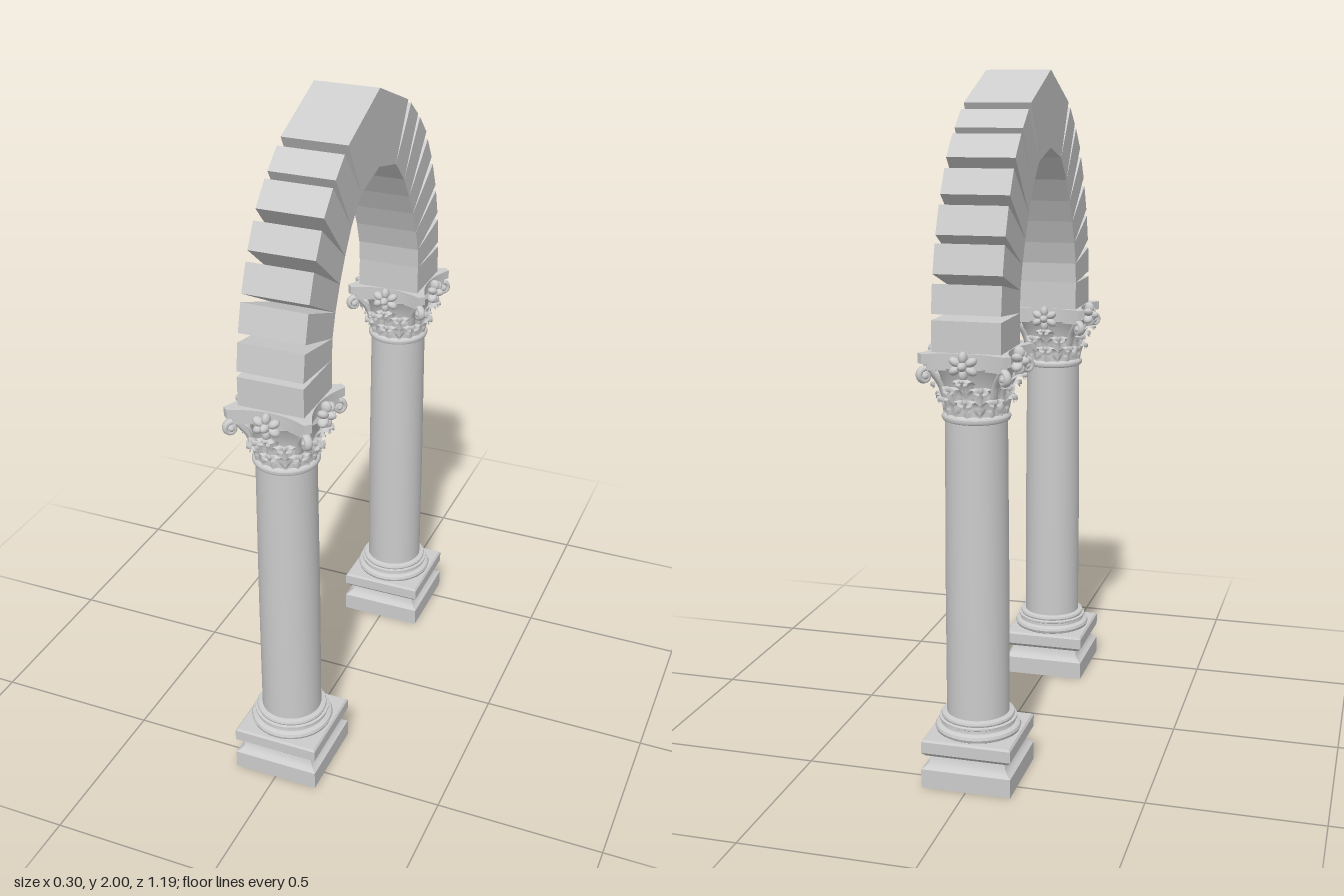
import * as THREE from 'three';
import { toCreasedNormals } from 'three/addons/utils/BufferGeometryUtils.js';

const mat = new THREE.MeshStandardMaterial({ color: 0xcccccc, side: THREE.DoubleSide });
const V2 = (p) => new THREE.Vector2(p[0], p[1]);

function add(parent, name, geo) {
  const mesh = new THREE.Mesh(geo, mat);
  mesh.name = name;
  parent.add(mesh);
  return mesh;
}

function lathe(points, segments) {
  return toCreasedNormals(new THREE.LatheGeometry(points.map(V2), segments), 0.6);
}

// Square moulding: a four-sided lathe turned so its faces meet the axes
function squareMoulding(points) {
  const geo = new THREE.LatheGeometry(points.map(([r, y]) => V2([r * Math.SQRT2, y])), 4);
  return toCreasedNormals(geo.rotateY(Math.PI / 4), 0.5);
}

// Curled leaf wrapped round the bell; path holds [radius, y] pairs
function leaf(path, halfWidth) {
  const geo = new THREE.PlaneGeometry(2, 1, 8, 14);
  const curve = new THREE.SplineCurve(path.map(V2));
  const pos = geo.attributes.position;
  for (let i = 0; i < pos.count; i++) {
    const u = pos.getX(i), v = pos.getY(i) + 0.5;
    const p = curve.getPoint(v);
    const lobes = 1 + 0.16 * Math.sin(v * Math.PI * 7);
    const w = halfWidth * lobes * Math.sqrt(Math.max(0.04, 1 - Math.pow(v, 4)));
    const r = p.x + 0.005 * Math.cos(u * Math.PI * 2) - 0.006 * u * u * v;
    const a = (u * w) / p.x;
    pos.setXYZ(i, r * Math.sin(a), p.y - 0.008 * u * u * v, r * Math.cos(a));
  }
  geo.computeVertexNormals();
  return geo;
}

// Abacus outline: concave sides and clipped corners
function abacusSlab(corner, waist, y, height) {
  const s = new THREE.Shape();
  const clip = 0.016;
  for (let k = 0; k < 4; k++) {
    const c = Math.cos((k * Math.PI) / 2), n = Math.sin((k * Math.PI) / 2);
    const at = (x, z) => [x * c - z * n, x * n + z * c];
    const start = at(corner, -corner + clip);
    if (k === 0) s.moveTo(...start);
    else s.lineTo(...start);
    s.quadraticCurveTo(...at(2 * waist - corner, 0), ...at(corner, corner - clip));
  }
  s.closePath();
  const geo = new THREE.ExtrudeGeometry(s, { depth: height, bevelEnabled: false, curveSegments: 12 });
  return toCreasedNormals(geo.rotateX(-Math.PI / 2).translate(0, y, 0), 0.5);
}

// Spiral scroll under an abacus corner
function scroll() {
  const pts = [[0.098, 1.13], [0.112, 1.165], [0.135, 1.195]];
  for (let i = 0; i <= 12; i++) {
    const a = 2.2 - i * 0.62, r = 0.021 - i * 0.0013;
    pts.push([0.158 + r * Math.cos(a), 1.19 + r * Math.sin(a)]);
  }
  const curve = new THREE.CatmullRomCurve3(pts.map(([r, y]) => new THREE.Vector3(0, y, r)));
  return new THREE.TubeGeometry(curve, 48, 0.008, 8).scale(1.5, 1, 1);
}

function createCapital() {
  const capital = new THREE.Group();
  capital.name = 'capital';
  add(capital, 'bell', lathe([[0.086, 1.07], [0.087, 1.11], [0.092, 1.15], [0.102, 1.185], [0.115, 1.21]], 40));
  add(capital, 'abacusLower', abacusSlab(0.118, 0.092, 1.205, 0.02));
  add(capital, 'abacusUpper', abacusSlab(0.13, 0.1, 1.225, 0.027));

  // Two staggered tiers of eight leaves
  const lower = leaf([[0.086, 1.073], [0.091, 1.1], [0.1, 1.123], [0.111, 1.127], [0.113, 1.115]], 0.032);
  const upper = leaf([[0.088, 1.09], [0.093, 1.13], [0.104, 1.157], [0.119, 1.162], [0.121, 1.149]], 0.03);
  for (let i = 0; i < 8; i++) {
    add(capital, 'lowerLeaf', lower).rotation.y = (i * Math.PI) / 4;
    add(capital, 'upperLeaf', upper).rotation.y = ((i + 0.5) * Math.PI) / 4;
  }

  const scrollGeo = scroll();
  const stalk = leaf([[0.09, 1.13], [0.102, 1.165], [0.122, 1.186], [0.138, 1.187], [0.14, 1.179]], 0.026);
  const petal = new THREE.SphereGeometry(1, 12, 8);
  for (let i = 0; i < 4; i++) {
    // Corner scrolls with a solid eye
    const corner = new THREE.Group();
    corner.name = 'cornerScroll';
    corner.rotation.y = ((i + 0.5) * Math.PI) / 2;
    add(corner, 'scroll', scrollGeo);
    const eye = add(corner, 'scrollEye', petal);
    eye.position.set(0, 1.19, 0.158);
    eye.scale.set(0.015, 0.012, 0.012);
    capital.add(corner);

    // Flower in the middle of each side
    const flower = new THREE.Group();
    flower.name = 'flower';
    flower.rotation.y = (i * Math.PI) / 2;
    add(flower, 'flowerStalk', stalk);
    const heart = add(flower, 'flowerHeart', petal);
    heart.position.set(0, 1.222, 0.128);
    heart.scale.set(0.013, 0.013, 0.024);
    for (let k = 0; k < 6; k++) {
      const a = (k * Math.PI) / 3 + Math.PI / 2;
      const m = add(flower, 'petal', petal);
      m.position.set(0.026 * Math.cos(a), 1.222 + 0.023 * Math.sin(a), 0.122);
      m.rotation.z = a;
      m.scale.set(0.018, 0.012, 0.016);
    }
    capital.add(flower);
  }
  return capital;
}

function createColumn() {
  const column = new THREE.Group();
  column.name = 'column';
  add(column, 'plinth', squareMoulding([
    [0, 0], [0.131, 0], [0.131, 0.055], [0.12, 0.062], [0.112, 0.073], [0.108, 0.092],
    [0.12, 0.094], [0.131, 0.105], [0.131, 0.138], [0.126, 0.144], [0, 0.144],
  ]));
  add(column, 'roundBase', lathe([
    [0.114, 0.143], [0.121, 0.147], [0.124, 0.155], [0.121, 0.163], [0.114, 0.167], [0.108, 0.168],
    [0.107, 0.176], [0.112, 0.179], [0.112, 0.184], [0.104, 0.186], [0.106, 0.191], [0.104, 0.197], [0.09, 0.2],
  ], 40));
  add(column, 'shaft', lathe([[0.09, 0.195], [0.09, 0.6], [0.087, 1.055]], 40));
  add(column, 'collar', lathe([
    [0.086, 1.053], [0.093, 1.056], [0.096, 1.062], [0.096, 1.067], [0.092, 1.073], [0.086, 1.076],
  ], 40));
  column.add(createCapital());
  return column;
}

// Stone with a [z, y] outline, extruded across the arch
function stone(outline) {
  const width = 0.195;
  const geo = new THREE.ExtrudeGeometry(new THREE.Shape(outline.map(V2)), { depth: width, bevelEnabled: false });
  return geo.translate(0, 0, -width / 2).rotateY(-Math.PI / 2);
}

function createArch() {
  const arch = new THREE.Group();
  arch.name = 'arch';
  // Joints along the inner curve, and outer corners of each stone
  const inner = [
    [0.344, 1.25], [0.344, 1.338], [0.339, 1.4], [0.318, 1.468],
    [0.286, 1.538], [0.249, 1.605], [0.204, 1.673], [0.133, 1.743],
  ];
  const outer = [
    [[0.535, 1.25], [0.535, 1.338]], [[0.535, 1.355], [0.524, 1.435]],
    [[0.518, 1.46], [0.497, 1.54]], [[0.49, 1.562], [0.458, 1.64]],
    [[0.445, 1.667], [0.405, 1.735]], [[0.39, 1.763], [0.33, 1.825]], [[0.312, 1.84], [0.25, 1.89]],
  ];
  for (const side of [1, -1]) {
    outer.forEach(([low, high], i) => {
      const outline = [inner[i], low, high, inner[i + 1]].map(([z, y]) => [z * side, y]);
      add(arch, i === 0 ? 'springer' : 'archStone', stone(outline));
    });
  }
  add(arch, 'keystone', stone([
    [0, 1.777], [0.133, 1.743], [0.225, 1.907], [0, 2], [-0.225, 1.907], [-0.133, 1.743],
  ]));
  return arch;
}

export function createModel() {
  const model = new THREE.Group();
  model.name = 'columnArch';
  for (const z of [0.442, -0.442]) {
    const column = createColumn();
    column.position.z = z;
    model.add(column);
  }
  model.add(createArch());
  return model;
}
